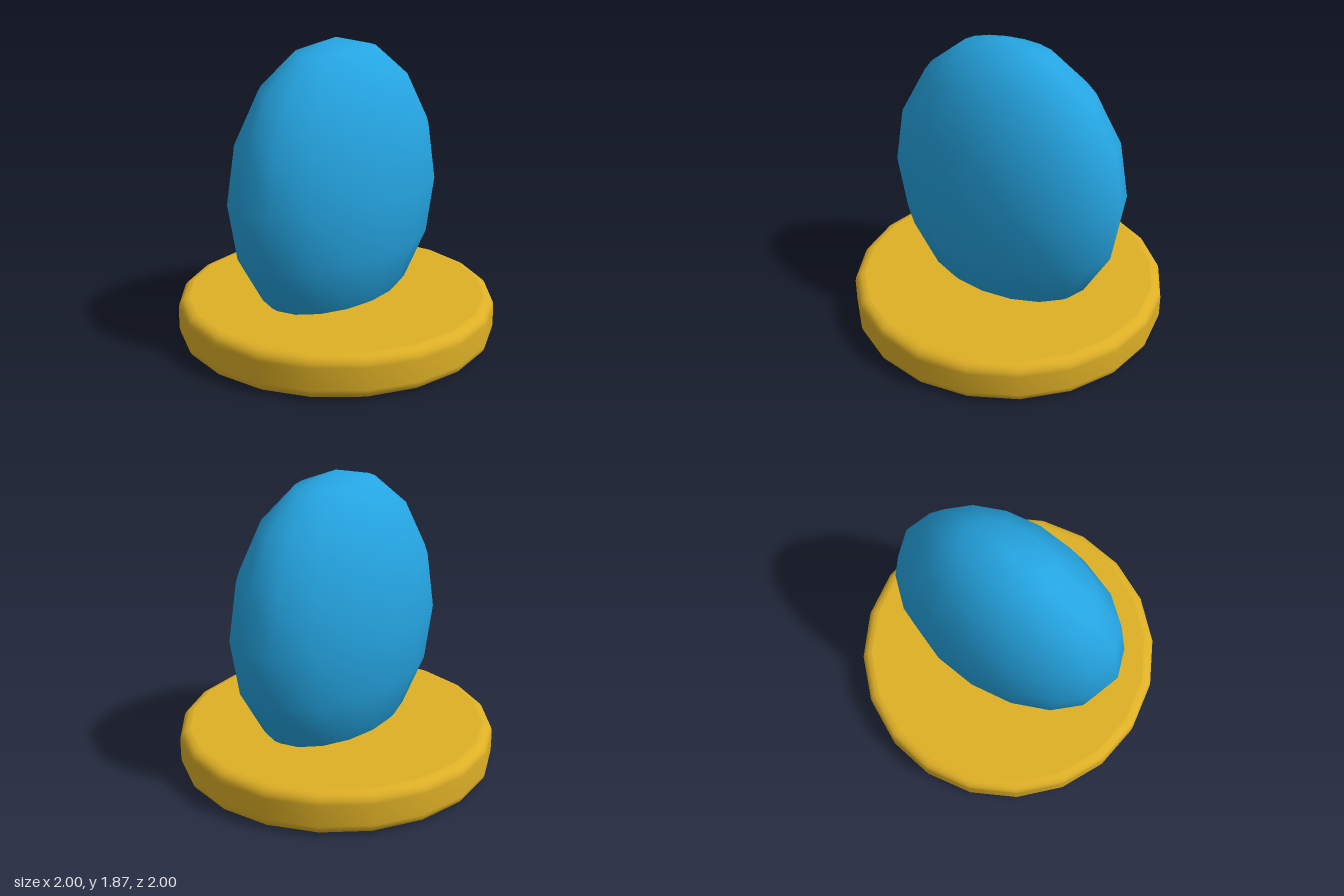
import * as THREE from 'three';

export function createModel() {
  const group = new THREE.Group();
  const gold = new THREE.MeshStandardMaterial({ color: 0xdeb026 });
  gold.name = 'gold';
  const blue = new THREE.MeshStandardMaterial({ color: 0x25a5e2 });
  blue.name = 'blue';

  const add = (name, geometry, material, parent = group) => {
    const mesh = new THREE.Mesh(geometry, material);
    mesh.name = name;
    parent.add(mesh);
    return mesh;
  };

  // Round base: 20-sided disc with rounded rims
  const sides = 20, height = 0.265, bevel = 0.065, steps = 4;
  const inner = 1 - bevel;
  const profile = [];
  for (const top of [false, true]) {
    for (let i = 0; i <= steps; i++) {
      const a = ((i / steps) - (top ? 0 : 1)) * Math.PI / 2;
      const cy = top ? height - bevel : bevel;
      profile.push(new THREE.Vector2(inner + bevel * Math.cos(a), cy + bevel * Math.sin(a)));
    }
  }
  const base = new THREE.Group();
  base.name = 'base';
  group.add(base);
  add('baseRim', new THREE.LatheGeometry(profile, sides), gold, base);

  // Flat faces closing the disc
  const cap = new THREE.CircleGeometry(inner, sides);
  add('baseTop', cap.clone().rotateX(-Math.PI / 2), gold, base).position.y = height;
  add('baseBottom', cap.clone().rotateX(Math.PI / 2), gold, base);

  // Flattened ellipsoid standing in the base
  const body = new THREE.SphereGeometry(1, 16, 8).scale(0.787, 0.92, 0.473);
  add('ellipsoidBody', body, blue).position.y = 0.95;

  return group;
}
